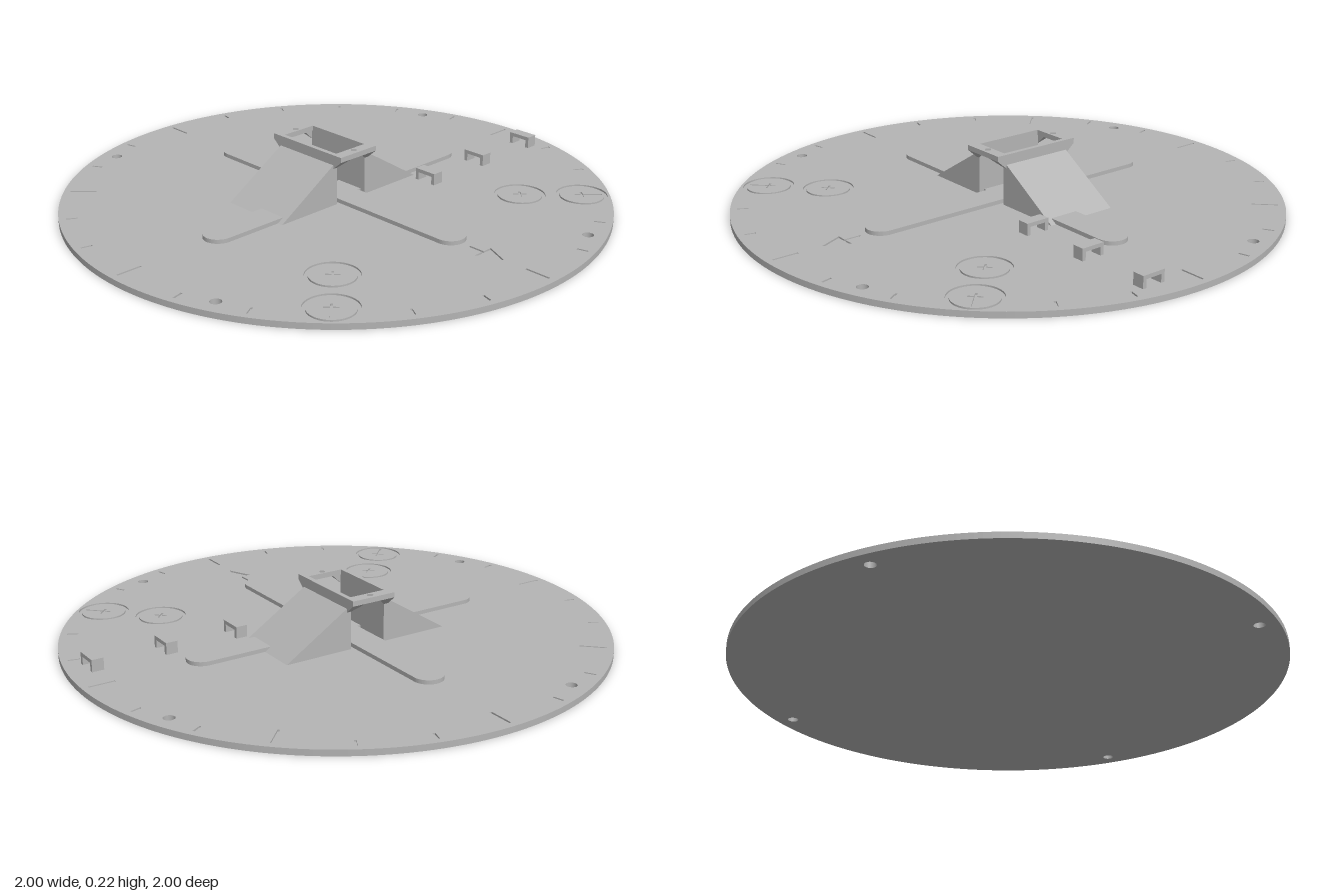
import * as THREE from 'three';
import { ConvexGeometry } from 'three/addons/geometries/ConvexGeometry.js';

const grey = new THREE.MeshStandardMaterial({ color: 0xb4b4b4 });
grey.name = 'plain grey';

const TOP = 0.022;      // upper face of the base disc
const GROOVE = 0.006;   // depth of the engraved marks

const part = (name, geometry) => {
  const mesh = new THREE.Mesh(geometry, grey);
  mesh.name = name;
  return mesh;
};

// Shapes are drawn in (x, z) and extruded downwards from the given height
const slab = (shape, top, depth, curveSegments = 32) =>
  new THREE.ExtrudeGeometry(shape, { depth, bevelEnabled: false, curveSegments })
    .rotateX(Math.PI / 2).translate(0, top, 0);

const circle = (x, z, r) => new THREE.Shape().absarc(x, z, r, 0, Math.PI * 2, false);
const polygon = (points) => new THREE.Shape(points.map(([x, z]) => new THREE.Vector2(x, z)));
const rect = (x0, x1, z0, z1) => polygon([[x0, z0], [x1, z0], [x1, z1], [x0, z1]]);

// Polygon rotated by an angle about the origin, then moved
const turned = (points, angle, x = 0, z = 0) => {
  const c = Math.cos(angle), s = Math.sin(angle);
  return polygon(points.map(([a, b]) => [x + a * c - b * s, z + a * s + b * c]));
};

// Base disc: plain lower layer, and an upper layer pierced by the engraving
function makeBase() {
  const base = new THREE.Group();
  base.name = 'base';
  const lower = circle(0, 0, 1);
  const upper = circle(0, 0, 1);

  // four screw holes
  for (const [x, z] of [[-0.36, -0.863], [0.863, -0.36], [0.36, 0.863], [-0.863, 0.36]]) {
    lower.holes.push(circle(x, z, 0.02));
    upper.holes.push(circle(x, z, 0.02));
  }

  // rim ticks every 15 degrees, longer every 45; two lie inside the outer rings
  for (let i = 0; i < 24; i++) {
    if (i === 3 || i === 21) continue;
    const start = i % 3 === 0 ? 0.88 : 0.935, w = 0.004;
    upper.holes.push(turned([[start, -w], [0.975, -w], [0.975, w], [start, w]], i * Math.PI / 12));
  }

  // direction arrow
  upper.holes.push(polygon([[0.64, -0.004], [0.7, -0.004], [0.7, -0.04], [0.79, 0],
    [0.7, 0.04], [0.7, 0.004], [0.64, 0.004]]));

  // engraved rings, each with a raised island and a centre cross
  for (const side of [1, -1]) {
    for (const [r, reach] of [[0.672, 0.025], [0.898, 0.072]]) {
      const angle = side * Math.PI / 4;
      const x = r * Math.cos(angle), z = r * Math.sin(angle);
      const w = 0.004, a = 0.025;
      upper.holes.push(circle(x, z, 0.093));
      const island = circle(x, z, 0.081);
      island.holes.push(turned([[reach, -w], [reach, w], [w, w], [w, a], [-w, a], [-w, w],
        [-a, w], [-a, -w], [-w, -w], [-w, -a], [w, -a], [w, -w]], angle, x, z));
      base.add(part('ringIsland', slab(island, TOP, GROOVE)));
    }
  }

  base.add(part('baseDisc', slab(lower, TOP - GROOVE, TOP - GROOVE, 120)));
  base.add(part('engravedFace', slab(upper, TOP, GROOVE, 120)));
  return base;
}

// Cross of two round-ended bars lying on the disc
function makeCross() {
  const w = 0.056, l = 0.61;
  const s = new THREE.Shape();
  for (let i = 0; i < 4; i++) {
    const a = i * Math.PI / 2, c = Math.cos(a), n = Math.sin(a);
    s.absarc((l - w) * c, (l - w) * n, w, a - Math.PI / 2, a + Math.PI / 2, false);
    s.lineTo(w * (c - n), w * (n + c));
  }
  return part('crossBars', slab(s, 0.037, 0.037 - TOP, 16));
}

// Tower: two sloped buttresses carrying an open rectangular collar
function makeTower() {
  const tower = new THREE.Group();
  tower.name = 'tower';
  const half = 0.139, lip = 0.177, inZ = 0.07, outZ = 0.088, under = 0.196;

  // collar plate with a pocket and two diamond holes
  const collar = rect(-lip, lip, -outZ, outZ);
  collar.holes.push(rect(-half + 0.004, half - 0.004, -inZ, inZ));
  for (const s of [1, -1]) {
    const x = s * 0.153, d = 0.014;
    collar.holes.push(polygon([[x - d, 0], [x, -d], [x + d, 0], [x, d]]));
  }
  tower.add(part('collar', slab(collar, 0.215, 0.215 - under)));

  for (const turn of [0, Math.PI]) {
    const sideGroup = new THREE.Group();
    sideGroup.name = 'towerSide';
    sideGroup.rotation.y = turn;

    // buttress profile in (z, y), extruded across x
    const profile = polygon([[inZ, TOP - 0.002], [0.335, TOP - 0.002], [0.335, TOP],
      [outZ, 0.177], [outZ, under], [inZ, under]]);
    const buttress = new THREE.ExtrudeGeometry(profile, { depth: 2 * half, bevelEnabled: false })
      .rotateY(-Math.PI / 2).translate(half, 0, 0);
    sideGroup.add(part('buttress', buttress));

    // tapered brackets beneath the collar ends
    for (const s of [1, -1]) {
      const pts = [[half, 0.163, inZ], [half, 0.163, outZ], [half, under, 0.036],
        [half, under, outZ], [lip, under, 0.036], [lip, under, outZ]]
        .map(([x, y, z]) => new THREE.Vector3(s * x, y, z));
      sideGroup.add(part('bracket', new ConvexGeometry(pts)));
    }
    tower.add(sideGroup);
  }
  tower.position.x = -0.062;
  return tower;
}

// Staple-shaped cable clip
function makeClip(z) {
  const h = 0.046, t = 0.014, w = 0.046, d = 0.044;
  const s = polygon([[-w, 0], [-w + t, 0], [-w + t, h - t], [w - t, h - t],
    [w - t, 0], [w, 0], [w, h], [-w, h]]);
  const clip = part('cableClip', new THREE.ExtrudeGeometry(s, { depth: d, bevelEnabled: false })
    .translate(0, 0, -d / 2));
  clip.position.set(0.155, TOP - 0.002, z);
  return clip;
}

export function createModel() {
  const model = new THREE.Group();
  model.name = 'discMount';
  model.add(makeBase(), makeCross(), makeTower());
  for (const z of [-0.334, -0.613, -0.892]) model.add(makeClip(z));
  return model;
}
